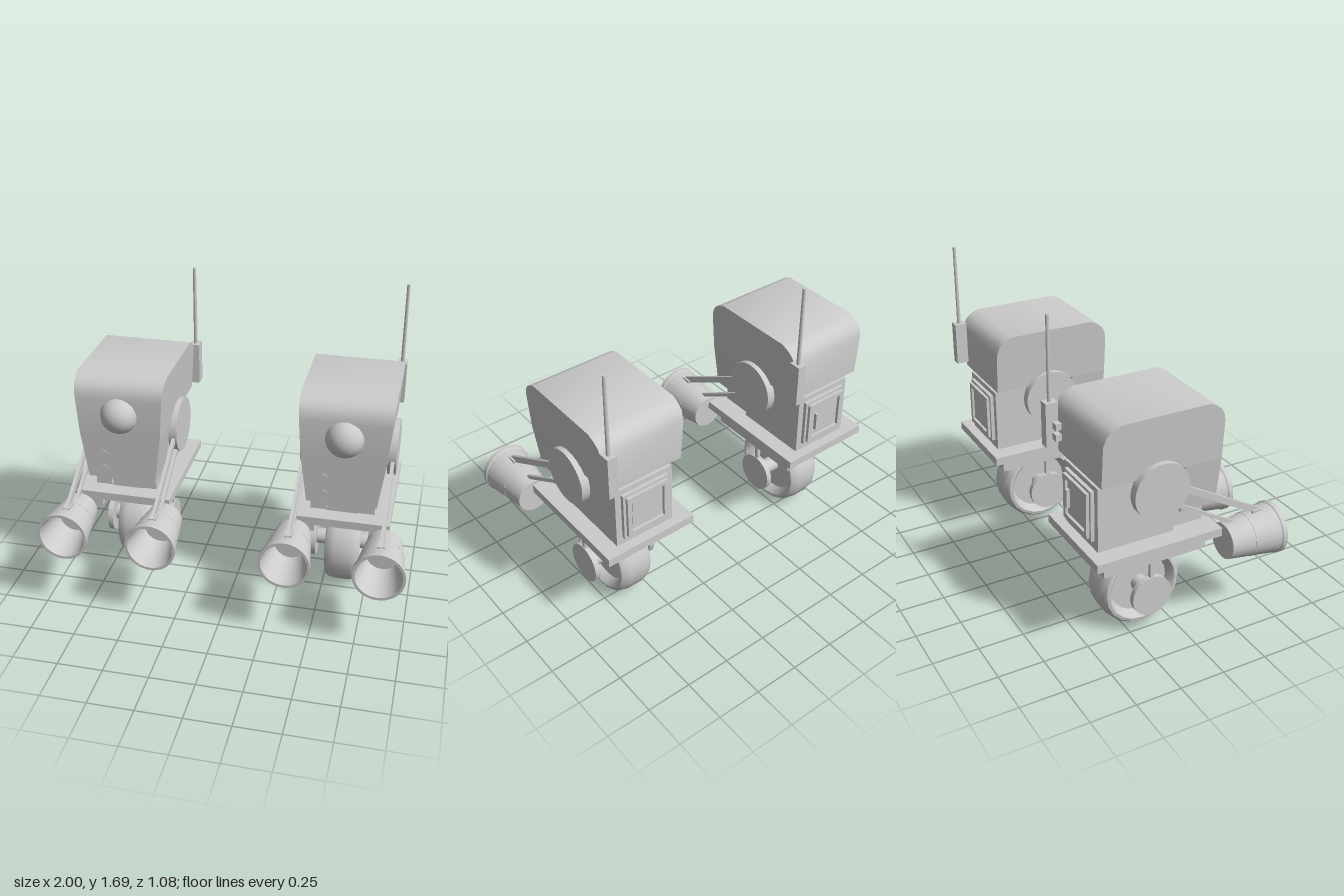
import * as THREE from 'three';
import { toCreasedNormals } from 'three/addons/utils/BufferGeometryUtils.js';

const grey = new THREE.MeshStandardMaterial({ color: 0xcccccc });
const greyOpen = new THREE.MeshStandardMaterial({ color: 0xcccccc, side: THREE.DoubleSide });

function add(parent, name, geometry, x = 0, y = 0, z = 0, material = grey) {
  const mesh = new THREE.Mesh(geometry, material);
  mesh.name = name;
  mesh.position.set(x, y, z);
  parent.add(mesh);
  return mesh;
}

// Box given by its limits on each axis
function block(parent, name, x0, x1, y0, y1, z0, z1) {
  const geometry = new THREE.BoxGeometry(x1 - x0, y1 - y0, z1 - z0);
  return add(parent, name, geometry, (x0 + x1) / 2, (y0 + y1) / 2, (z0 + z1) / 2);
}

// Cylinder lying along x
function disc(parent, name, radius, x0, x1, y, z, sides = 32) {
  const geometry = new THREE.CylinderGeometry(radius, radius, Math.abs(x1 - x0), sides).rotateZ(Math.PI / 2);
  return add(parent, name, toCreasedNormals(geometry, 0.6), (x0 + x1) / 2, y, z);
}

function lathe(points, sides) {
  const profile = points.map(([r, h]) => new THREE.Vector2(r, h));
  return toCreasedNormals(new THREE.LatheGeometry(profile, sides), 0.6);
}

// Side profile [z, y] extruded across x, with half width running from w0 at y0 to w1 at y1
function taperedProfile(points, y0, w0, y1, w1) {
  const shape = new THREE.Shape(points.map(([z, y]) => new THREE.Vector2(z, y)));
  const geometry = new THREE.ExtrudeGeometry(shape, { depth: 2, bevelEnabled: false });
  geometry.translate(0, 0, -1).rotateY(-Math.PI / 2);
  const p = geometry.attributes.position;
  for (let i = 0; i < p.count; i++) {
    p.setX(i, p.getX(i) * THREE.MathUtils.mapLinear(p.getY(i), y0, y1, w0, w1));
  }
  return toCreasedNormals(geometry, 0.6);
}

// Flat bar between two [z, y] points
function bar(parent, name, x, a, b, height, width) {
  const dz = b[0] - a[0], dy = b[1] - a[1];
  const geometry = new THREE.BoxGeometry(width, height, Math.hypot(dz, dy));
  const mesh = add(parent, name, geometry, x, (a[1] + b[1]) / 2, (a[0] + b[0]) / 2);
  mesh.rotation.x = -Math.atan2(dy, dz);
}

function addHead(robot) {
  const head = new THREE.Group();
  head.name = 'head';
  robot.add(head);
  const upper = [[0.208, 0.97], [0.208, 1.18], [0.2, 1.22], [0.183, 1.252], [0.15, 1.278], [0.11, 1.295],
    [-0.375, 1.295], [-0.42, 1.275], [-0.45, 1.25], [-0.468, 1.2], [-0.468, 0.97]];
  const lower = [[0.208, 0.695], [0.208, 0.97], [0, 0.97], [0, 0.695]];
  add(head, 'headShell', taperedProfile(upper, 0.97, 0.228, 1.295, 0.25));
  add(head, 'faceLower', taperedProfile(lower, 0.695, 0.19, 0.97, 0.228));
  add(head, 'eye', new THREE.SphereGeometry(0.105, 32, 20), 0, 1.085, 0.185);
  for (const y of [0.845, 0.75]) {
    const button = new THREE.CylinderGeometry(0.023, 0.023, 0.02, 20).rotateX(Math.PI / 2);
    add(head, 'button', toCreasedNormals(button, 0.6), -0.1, y, 0.203);
  }
}

function addBody(robot, hasHandle) {
  const body = new THREE.Group();
  body.name = 'body';
  robot.add(body);
  block(body, 'torso', -0.175, 0.175, 0.585, 0.943, -0.46, -0.03);
  block(body, 'neck', -0.16, 0.16, 0.94, 0.98, -0.265, -0.04);
  block(body, 'frontStep', -0.09, 0.09, 0.585, 0.66, -0.04, 0.11);
  block(body, 'frontBand', -0.09, 0.09, 0.625, 0.645, 0.1, 0.12);
  for (const s of [-1, 1]) block(body, 'frontFoot', s * 0.13 - 0.045, s * 0.13 + 0.045, 0.61, 0.695, -0.04, 0.14);

  // Rear hatch: slab, raised rim and inset door
  block(body, 'hatchSlab', -0.14, 0.14, 0.635, 0.915, -0.48, -0.45);
  const frame = new THREE.Shape([[-0.125, 0.65], [0.125, 0.65], [0.125, 0.9], [-0.125, 0.9]].map(p => new THREE.Vector2(...p)));
  frame.holes.push(new THREE.Path([[-0.1, 0.675], [-0.1, 0.875], [0.1, 0.875], [0.1, 0.675]].map(p => new THREE.Vector2(...p))));
  add(body, 'hatchRim', new THREE.ExtrudeGeometry(frame, { depth: 0.02, bevelEnabled: false }), 0, 0, -0.497);
  block(body, 'hatchDoor', -0.092, 0.092, 0.683, 0.867, -0.488, -0.47);
  if (hasHandle) block(body, 'hatchHandle', 0.067, 0.081, 0.725, 0.83, -0.507, -0.48);

  // Chassis plate with rails below
  block(body, 'chassisPlate', -0.275, 0.265, 0.54, 0.587, -0.515, 0.203);
  block(body, 'chassisCentre', -0.15, 0.15, 0.497, 0.545, -0.4, 0.1);
  for (const s of [-1, 1]) block(body, 'chassisRail', s * 0.185 - 0.035, s * 0.185 + 0.035, 0.46, 0.545, -0.45, 0.14);
}

function addWheel(robot) {
  const wheel = new THREE.Group();
  wheel.name = 'wheel';
  wheel.position.set(0, 0.24, -0.155);
  robot.add(wheel);
  const half = [[0, 0.05], [0.165, 0.05], [0.182, 0.088], [0.195, 0.1], [0.212, 0.096], [0.226, 0.078], [0.234, 0.045]];
  const profile = half.map(([r, h]) => [r, -h]).concat(half.slice().reverse());
  add(wheel, 'tyre', lathe(profile, 20).rotateZ(Math.PI / 2));
  for (const s of [-1, 1]) {
    disc(wheel, 'axle', 0.045, s * 0.04, s * 0.17, 0, 0, 20);
    disc(wheel, 'hubDisc', 0.113, s * 0.165, s * 0.195, 0, 0);
    block(wheel, 'strut', s * 0.18 - 0.011, s * 0.18 + 0.011, 0.08, 0.31, -0.011, 0.011);
  }
}

function addArm(robot, s) {
  const arm = new THREE.Group();
  arm.name = s > 0 ? 'leftArm' : 'rightArm';
  robot.add(arm);
  disc(arm, 'shoulderDisc', 0.155, s * 0.215, s * 0.262, 0.887, -0.148, 40);
  disc(arm, 'shoulderHub', 0.07, s * 0.15, s * 0.22, 0.887, -0.148, 24);
  bar(arm, 'upperBar', s * 0.243, [-0.1, 0.911], [0.455, 0.6], 0.036, 0.018);
  bar(arm, 'lowerBar', s * 0.243, [-0.12, 0.82], [0.3, 0.573], 0.02, 0.018);

  // Hollow horn, open to the front
  const horn = [[0, 0], [0.097, 0], [0.115, 0.13], [0.117, 0.13], [0.117, 0.134], [0.116, 0.134],
    [0.135, 0.28], [0.14, 0.285], [0.14, 0.31], [0.125, 0.31], [0.088, 0.1], [0, 0.1]];
  add(arm, 'horn', lathe(horn, 40).rotateX(Math.PI / 2), s * 0.248, 0.486, 0.23, greyOpen);
  block(arm, 'hornBracket', s * 0.243 - 0.02, s * 0.243 + 0.02, 0.58, 0.622, 0.4, 0.46);
}

function addAntenna(robot, x, hasClips) {
  const antenna = new THREE.Group();
  antenna.name = 'antenna';
  robot.add(antenna);
  block(antenna, 'antennaBox', x - 0.027, x + 0.027, 1.0, 1.24, -0.535, -0.467);
  add(antenna, 'antennaRod', new THREE.CylinderGeometry(0.009, 0.011, 0.47, 10), x, 1.46, -0.502);
  if (hasClips) {
    for (const y of [1.06, 1.12]) block(antenna, 'antennaClip', x - 0.065, x - 0.02, y - 0.018, y + 0.018, -0.5, -0.46);
  }
}

export function createModel() {
  const model = new THREE.Group();
  model.name = 'robotPair';
  for (const side of [-1, 1]) {
    const robot = new THREE.Group();
    robot.name = side > 0 ? 'leftRobot' : 'rightRobot';
    robot.position.x = side * 0.612;
    addHead(robot);
    addBody(robot, side < 0);
    addWheel(robot);
    for (const s of [-1, 1]) addArm(robot, s);
    addAntenna(robot, side < 0 ? 0.25 : 0.226, side < 0);
    model.add(robot);
  }
  return model;
}
